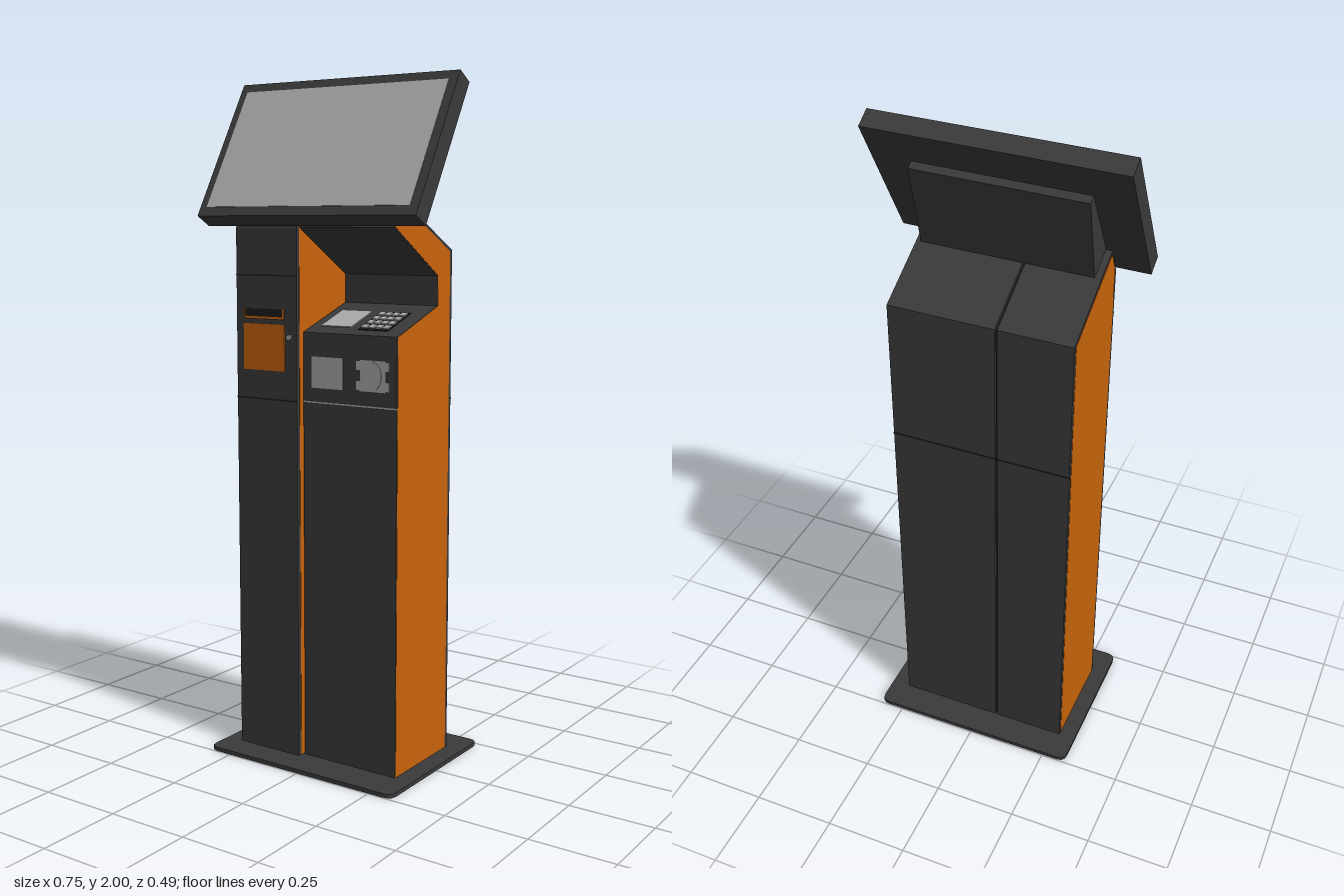
import * as THREE from 'three';

const mat = (color, rough = 0.8) => new THREE.MeshStandardMaterial({ color });
const dark = mat(0x3a3a3a), black = mat(0x1c1c1c), orange = mat(0xc8640c), grey = mat(0xaaaaaa);

// Extrude a side profile of [z, y] points across x0..x1.
function slab(name, pts, x0, x1, material) {
  const shape = new THREE.Shape(pts.map(([z, y]) => new THREE.Vector2(z, y)));
  const geo = new THREE.ExtrudeGeometry(shape, { depth: x1 - x0, bevelEnabled: false });
  geo.rotateY(-Math.PI / 2).translate(x1, 0, 0);
  const mesh = new THREE.Mesh(geo, material);
  mesh.name = name;
  return mesh;
}

function box(name, w, h, d, x, y, z, material) {
  const mesh = new THREE.Mesh(new THREE.BoxGeometry(w, h, d), material);
  mesh.position.set(x, y, z);
  mesh.name = name;
  return mesh;
}

function group(name, ...children) {
  const g = new THREE.Group();
  g.name = name;
  if (children.length) g.add(...children);
  return g;
}

// Dark column with an orange panel let into each side.
function column(name, x0, x1, body, panel) {
  const t = 0.001;
  return group(name,
    slab('columnBody', body, x0 + t, x1 - t, dark),
    slab('sidePanelRight', panel, x0, x0 + t, orange),
    slab('sidePanelLeft', panel, x1 - t, x1, orange));
}

// Floor plate with rounded corners.
function basePlate() {
  const w = 0.326, d = 0.247, r = 0.027, s = new THREE.Shape();
  s.moveTo(-w + r, -d).lineTo(w - r, -d).quadraticCurveTo(w, -d, w, -d + r)
    .lineTo(w, d - r).quadraticCurveTo(w, d, w - r, d)
    .lineTo(-w + r, d).quadraticCurveTo(-w, d, -w, d - r)
    .lineTo(-w, -d + r).quadraticCurveTo(-w, -d, -w + r, -d);
  const geo = new THREE.ExtrudeGeometry(s, { depth: 0.012, bevelEnabled: false, curveSegments: 3 });
  const mesh = new THREE.Mesh(geo.rotateX(-Math.PI / 2), dark);
  mesh.name = 'basePlate';
  return mesh;
}

// Tilted display with its bezel.
function display() {
  const g = group('display',
    box('displayCase', 0.746, 0.45, 0.058, 0, 0, 0, dark),
    box('displayGlass', 0.695, 0.393, 0.002, -0.002, 0.001, 0.029, grey));
  g.position.set(0, 1.79, 0.0775);
  g.rotation.x = -Math.PI / 6;
  return g;
}

// Sloping shelf fittings: small screen and keypad.
function shelfFittings() {
  const g = group('shelfFittings', box('shelfScreen', 0.105, 0.004, 0.118, 0.035, 0.001, 0.008, grey));
  const keypad = group('keypad', box('keypadPlate', 0.1, 0.003, 0.13, 0, 0.0005, 0, black));
  for (let c = 0; c < 4; c++) for (let r = 0; r < 4; r++) {
    keypad.add(box('key', 0.018, 0.006, 0.022, (c - 1.5) * 0.024, 0.003, (r - 1.5) * 0.03, grey));
  }
  keypad.position.set(0.168, 0, 0.014);
  g.add(keypad);
  g.position.set(0, 1.3175, 0.0315);
  g.rotation.x = Math.atan2(0.075, 0.213);
  return g;
}

// Card reader plate with round centre and four corner tabs.
function cardReader() {
  const g = group('cardReader', box('readerPlate', 0.085, 0.088, 0.003, 0, 0, 0, grey));
  const disc = new THREE.Mesh(new THREE.CylinderGeometry(0.03, 0.03, 0.005, 24), grey);
  disc.rotation.x = Math.PI / 2;
  disc.scale.z = 1.35;
  disc.position.z = 0.001;
  disc.name = 'readerDisc';
  g.add(disc);
  for (const sx of [-1, 1]) for (const sy of [-1, 1]) {
    g.add(box('readerTab', 0.02, 0.025, 0.004, sx * 0.045, sy * 0.028, 0, grey));
  }
  g.position.set(0.19, 1.167, 0.139);
  return g;
}

export function createModel() {
  const model = group('kiosk', basePlate());

  // Narrow full-height column
  const nx0 = -0.275, nx1 = -0.055, wx0 = -0.05, wx1 = 0.27;
  model.add(column('narrowColumn', nx0, nx1,
    [[0.16, 0.01], [0.16, 1.575], [0.12, 1.655], [-0.156, 1.512], [-0.156, 0.01]],
    [[0.148, 0.012], [0.148, 1.587], [0.119, 1.645], [-0.144, 1.508], [-0.144, 0.012]]));

  // Wide column with a recess above its sloping shelf
  model.add(column('wideColumn', wx0, wx1,
    [[0.138, 0.01], [0.138, 1.28], [-0.075, 1.355], [-0.075, 1.44], [0.155, 1.577],
      [0.12, 1.655], [-0.156, 1.512], [-0.156, 0.01]],
    [[0.135, 0.012], [0.135, 1.279], [-0.077, 1.354], [-0.077, 1.441], [0.152, 1.578],
      [0.119, 1.645], [-0.144, 1.508], [-0.144, 0.012]]));

  // Filler between the columns, set back from every face
  model.add(slab('columnJoint',
    [[0.12, 0.01], [0.12, 1.27], [-0.085, 1.345], [-0.085, 1.45], [0.13, 1.58],
      [0.115, 1.645], [-0.15, 1.508], [-0.15, 0.01]], nx1, wx0, black));

  // Door seams
  const nw = nx1 - nx0, nx = (nx0 + nx1) / 2, ww = wx1 - wx0, wx = (wx0 + wx1) / 2;
  model.add(group('seams',
    box('narrowDoorSeam', nw, 0.004, 0.002, nx, 1.08, 0.16, black),
    box('narrowTopSeam', nw, 0.004, 0.002, nx, 1.44, 0.16, black),
    box('wideDoorSeam', ww, 0.004, 0.002, wx, 1.08, 0.138, grey),
    box('backSeam', wx1 - nx0, 0.004, 0.002, (nx0 + wx1) / 2, 1.08, -0.156, black)));

  // Ticket outlet on the narrow column
  model.add(group('ticketOutlet',
    box('ticketFlap', 0.148, 0.135, 0.004, -0.173, 1.232, 0.161, orange),
    box('ticketSlot', 0.14, 0.03, 0.003, -0.173, 1.328, 0.16, black),
    box('slotLip', 0.14, 0.006, 0.005, -0.173, 1.318, 0.161, orange),
    box('slotEndRight', 0.005, 0.03, 0.005, -0.243, 1.33, 0.161, orange),
    box('slotEndLeft', 0.005, 0.03, 0.005, -0.103, 1.33, 0.161, orange)));
  const lock = new THREE.Mesh(new THREE.CylinderGeometry(0.008, 0.008, 0.008, 16), grey);
  lock.rotation.x = Math.PI / 2;
  lock.position.set(-0.083, 1.264, 0.162);
  lock.name = 'lock';
  model.add(lock);

  // Fittings on the wide column
  model.add(box('receiptPanel', 0.108, 0.09, 0.004, 0.035, 1.167, 0.139, grey), cardReader(), shelfFittings());

  // Display and its wedge support
  model.add(display(), slab('displaySupport',
    [[0.006, 1.875], [-0.022, 1.857], [0.04, 1.6], [0.14, 1.63]], -0.255, 0.255, dark));
  return model;
}
